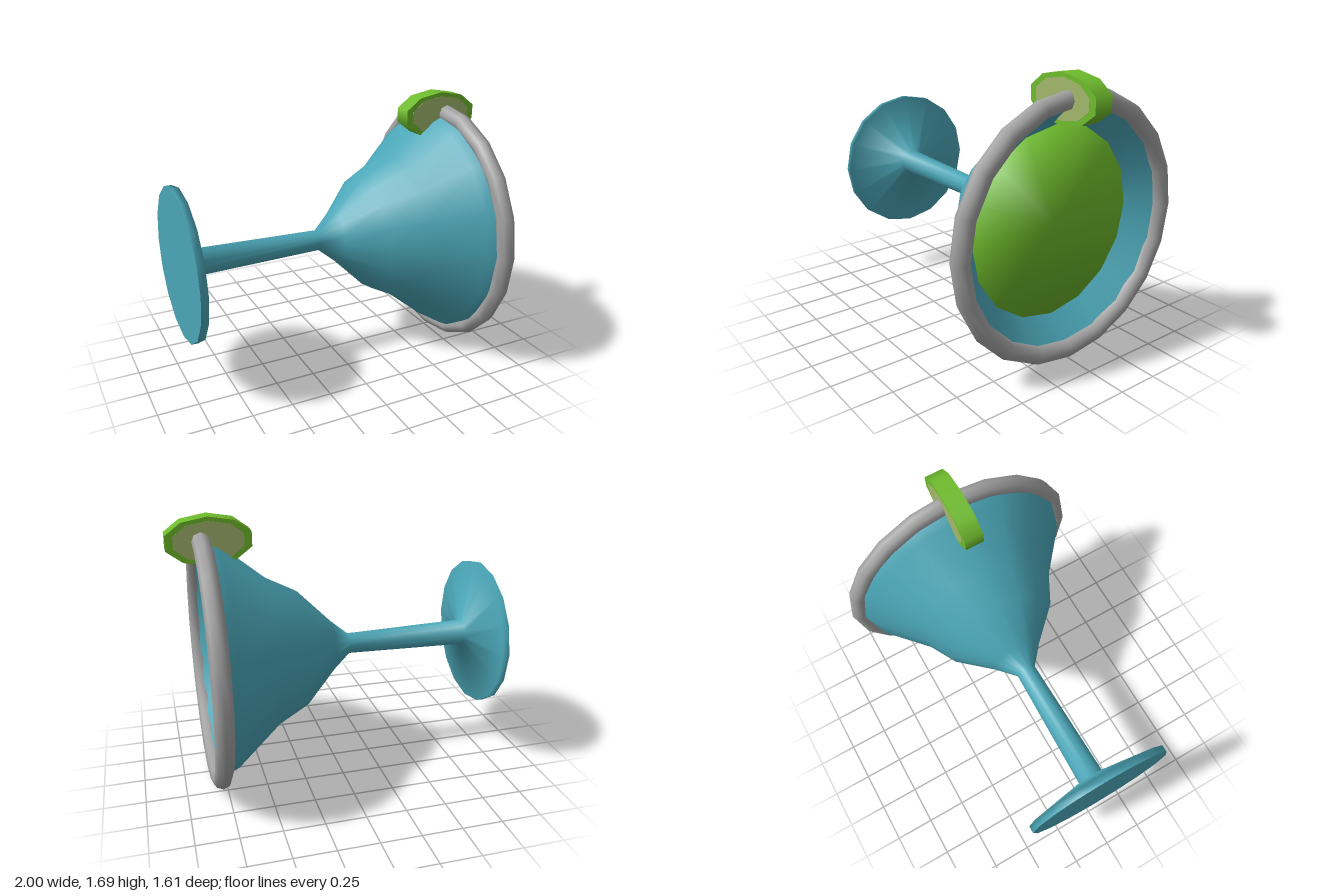
import * as THREE from 'three';

export function createModel() {
  const mat = (name, color) => {
    const m = new THREE.MeshStandardMaterial({ color });
    m.name = name;
    return m;
  };
  const teal = mat('teal glass', 0x4aa5b6);
  const green = mat('lime green', 0x6fbc2c);
  const grey = mat('salt grey', 0xa3a3a3);
  const flesh = mat('lime flesh', 0xa3b86c);

  const model = new THREE.Group();
  model.name = 'tippedCocktailGlass';

  // The glass lies on its side: its axis runs along x, mouth towards +x
  const glass = new THREE.Group();
  glass.name = 'glass';
  glass.position.y = 0.805;
  model.add(glass);

  const add = (parent, name, geometry, material) => {
    const mesh = new THREE.Mesh(geometry, material);
    mesh.name = name;
    parent.add(mesh);
    return mesh;
  };
  // Profile points are [x along the axis, radius]
  const lathe = (name, profile, material) => {
    const pts = profile.map(([x, r]) => new THREE.Vector2(r, x));
    return add(glass, name, new THREE.LatheGeometry(pts, 16).rotateZ(-Math.PI / 2), material);
  };

  // Foot underside, then one smooth skin over foot, stem and bowl
  lathe('footUnderside', [[-1, 0], [-1, 0.472]], teal);
  lathe('footStemAndBowl', [[-1, 0.472], [-0.955, 0.472], [-0.885, 0.082], [-0.1, 0.064],
    [0.02, 0.165], [0.23, 0.377], [0.42, 0.476], [0.7, 0.708], [0.79, 0.75]], teal);

  // Inside of the thick bowl, from the rim down to below the drink
  lathe('bowlInside', [[0.8, 0.71], [0.66, 0.58], [0.6, 0.525]], teal);

  // Drink: tapered body with a softly shaded surface
  lathe('drink', [[0.2, 0.2], [0.66, 0.579], [0.661, 0]], green);

  // Salted rim
  const rim = add(glass, 'rim', new THREE.TorusGeometry(0.75, 0.055, 8, 20).rotateY(Math.PI / 2), grey);
  rim.position.x = 0.797;

  // Lime slice on the rim: ten-sided oval rind with thin flesh faces
  const lime = new THREE.Group();
  lime.name = 'limeSlice';
  lime.position.set(0.752, 1.543, 0);
  model.add(lime);
  const oval = (name, scale, depth, material) => {
    const g = new THREE.CylinderGeometry(1, 1, depth, 10).rotateX(-Math.PI / 2);
    g.scale(0.261 * scale, 0.1435 * scale, 1);
    return add(lime, name, g, material);
  };
  oval('rind', 1, 0.118, green);
  for (const s of [1, -1]) oval('flesh', 0.82, 0.006, flesh).position.z = s * 0.058;

  return model;
}
